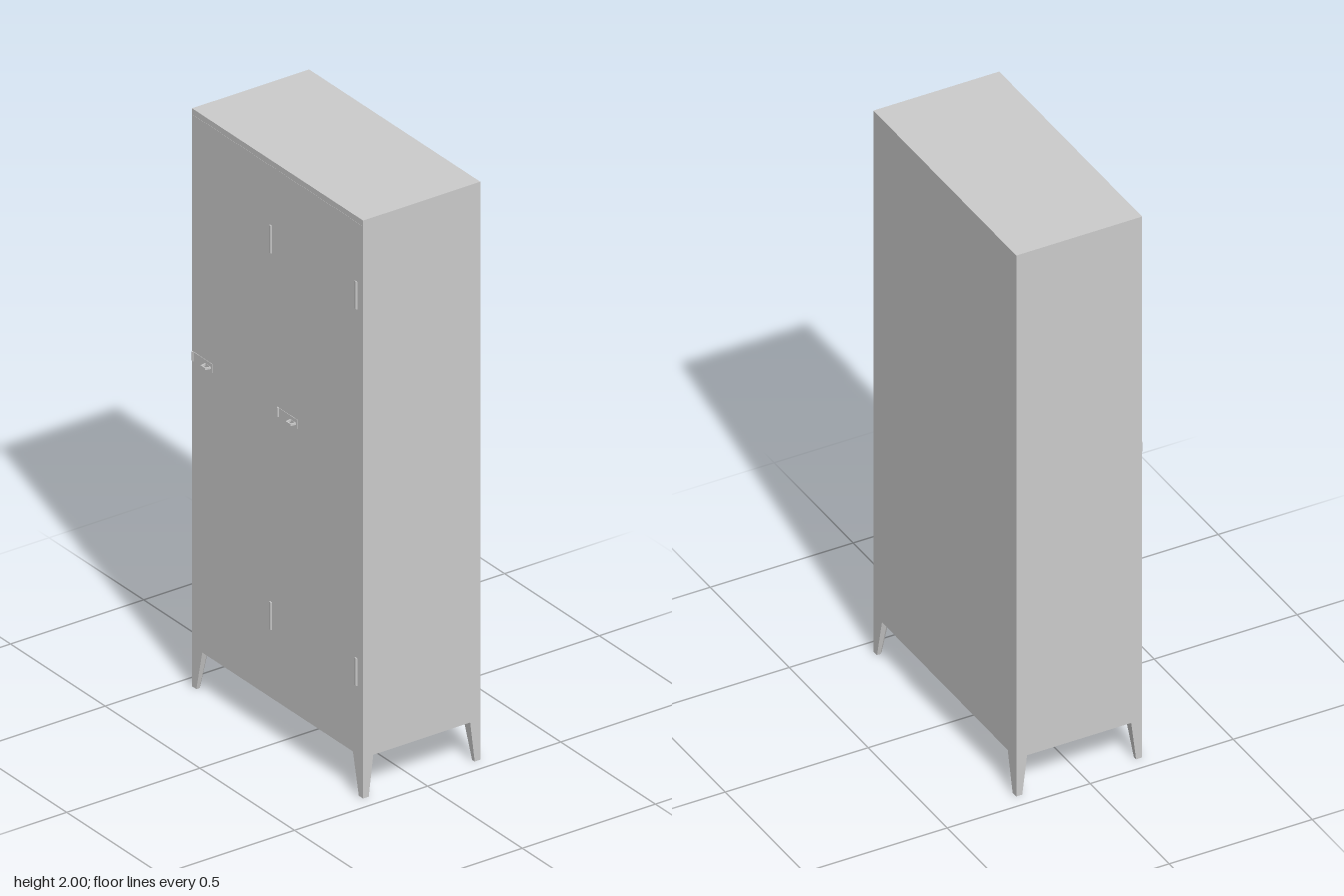
import * as THREE from 'three';

const W = 0.452, BACK = -0.232, FRONT = 0.208, FLOOR = 0.14;
const MID = (BACK + FRONT) / 2, HALF_D = (FRONT - BACK) / 2;
const grey = new THREE.MeshStandardMaterial({ color: 0xcccccc, flatShading: true });

function add(parent, name, geometry, x = 0, y = 0, z = 0) {
  const mesh = new THREE.Mesh(geometry, grey);
  mesh.name = name;
  mesh.position.set(x, y, z);
  parent.add(mesh);
  return mesh;
}

// Box given by its limits
function block(parent, name, x0, x1, y0, y1, z0, z1) {
  return add(parent, name, new THREE.BoxGeometry(x1 - x0, y1 - y0, z1 - z0),
    (x0 + x1) / 2, (y0 + y1) / 2, (z0 + z1) / 2);
}

// Tapered leg: the outer corner stays square, the inner corner is chamfered
function legGeometry(sx, sz) {
  const ring = (w, d, c, y) => [[0, 0], [w, 0], [w, d - c], [w - c, d], [0, d]]
    .map(([a, b]) => [sx * (W - a), y, MID + sz * (HALF_D - b)]);
  const foot = ring(0.023, 0.021, 0.009, 0), top = ring(0.054, 0.038, 0.018, FLOOR);
  const index = [];
  const tri = (a, b, c) => index.push(...(sx * sz > 0 ? [a, b, c] : [a, c, b]));
  for (let i = 0; i < 5; i++) {
    const j = (i + 1) % 5;
    tri(i, i + 5, j);
    tri(j, i + 5, j + 5);
  }
  for (let i = 1; i < 4; i++) {
    tri(0, i, i + 1);
    tri(5, i + 6, i + 5);
  }
  const geometry = new THREE.BufferGeometry();
  geometry.setAttribute('position', new THREE.Float32BufferAttribute([...foot, ...top].flat(), 3));
  // Orient all faces outward
  const v = [...foot, ...top].map(p => new THREE.Vector3(...p));
  const centre = v.reduce((s, p) => s.add(p), new THREE.Vector3()).divideScalar(10);
  for (let i = 0; i < index.length; i += 3) {
    const [a, b, c] = index.slice(i, i + 3).map(k => v[k]);
    const normal = b.clone().sub(a).cross(c.clone().sub(a));
    if (normal.dot(a.clone().sub(centre)) < 0) [index[i + 1], index[i + 2]] = [index[i + 2], index[i + 1]];
  }
  geometry.setIndex(index);
  const flat = geometry.toNonIndexed();
  flat.computeVertexNormals();
  return flat;
}

// Tapered pull loop, open through the middle
function pullGeometry() {
  const shape = new THREE.Shape([[-0.016, 0], [0.016, 0], [0.012, 0.02], [-0.012, 0.02]]
    .map(p => new THREE.Vector2(...p)));
  shape.holes.push(new THREE.Path([[-0.011, 0.002], [-0.009, 0.016], [0.009, 0.016], [0.011, 0.002]]
    .map(p => new THREE.Vector2(...p))));
  const geometry = new THREE.ExtrudeGeometry(shape, { depth: 0.007, bevelEnabled: false });
  return geometry.translate(0, 0, -0.0035).rotateX(Math.PI / 2);
}

export function createModel() {
  const model = new THREE.Group();
  model.name = 'locker';

  block(model, 'cabinetBody', -W, W, FLOOR, 2, BACK, FRONT);

  // Four legs
  for (const sx of [-1, 1]) for (const sz of [-1, 1]) add(model, 'leg', legGeometry(sx, sz));

  // Two doors, each with a pair of hinges and a latch
  for (const x0 of [-0.45, 0]) {
    const door = new THREE.Group();
    door.name = 'door';
    door.position.x = x0;
    model.add(door);
    block(door, 'doorPanel', 0.005, 0.443, 0.17, 1.98, FRONT - 0.01, FRONT + 0.0006);

    for (const y of [0.425, 1.728])
      add(door, 'hinge', new THREE.CylinderGeometry(0.007, 0.007, 0.095, 12), 0.416, y, FRONT - 0.002);

    block(door, 'latchPlate', 0.001, 0.106, 1.13, 1.162, FRONT - 0.002, FRONT + 0.002);
    add(door, 'latchRib', new THREE.CylinderGeometry(0.005, 0.005, 0.032, 10), 0.005, 1.146, FRONT);
    add(door, 'pull', pullGeometry(), 0.085, 1.146, FRONT + 0.001);
  }
  return model;
}
